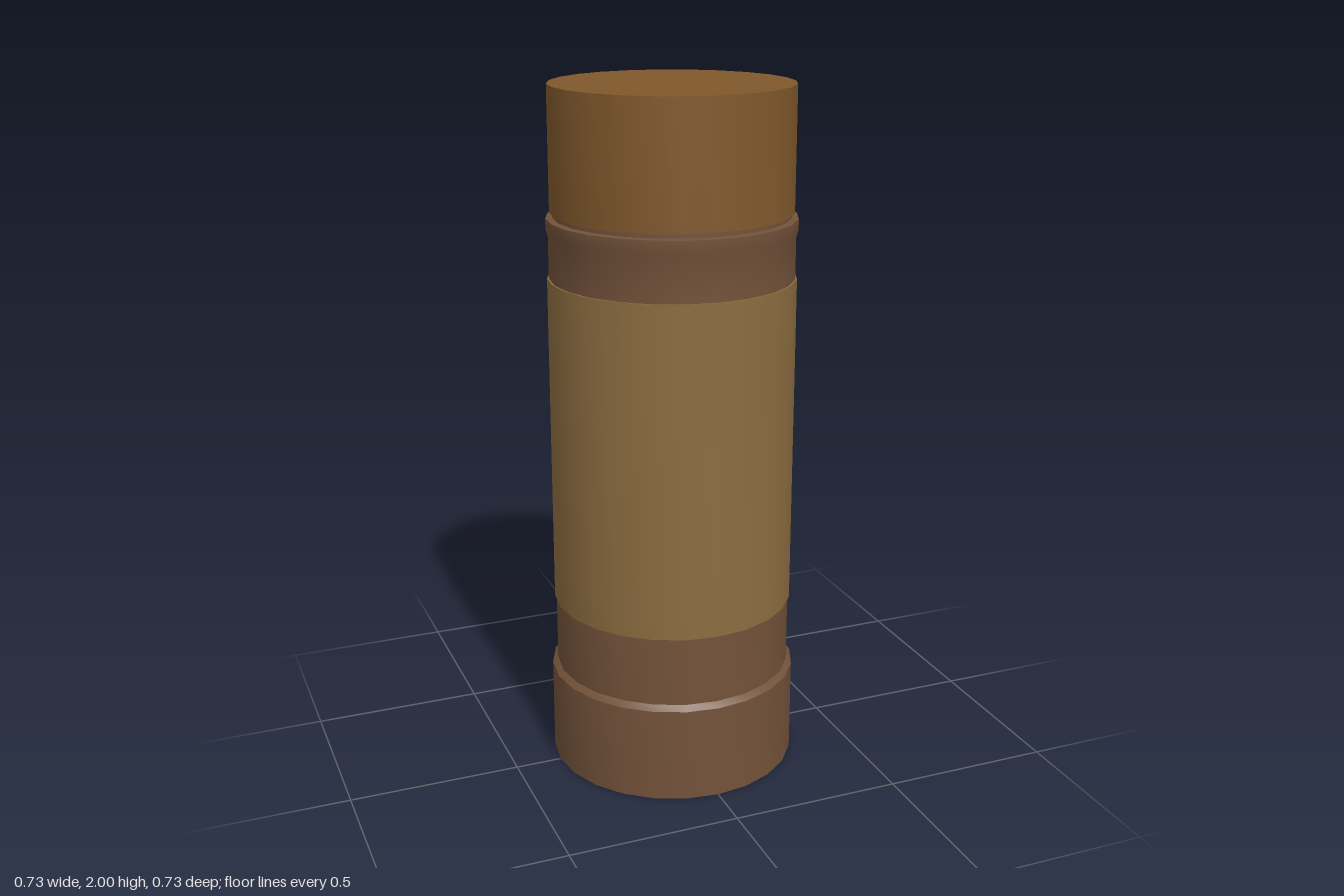
import * as THREE from 'three';
import { toCreasedNormals } from 'three/addons/utils/BufferGeometryUtils.js';

const SIDES = 24;

// Revolves a list of [radius, height] points into a named, crisp-edged shell
function turned(name, color, profile) {
  const points = profile.map(([r, y]) => new THREE.Vector2(r, y));
  const geometry = toCreasedNormals(new THREE.LatheGeometry(points, SIDES), 0.5);
  const material = new THREE.MeshStandardMaterial({ color, side: THREE.DoubleSide });
  const mesh = new THREE.Mesh(geometry, material);
  mesh.name = name;
  return mesh;
}

export function createModel() {
  const group = new THREE.Group();
  group.name = 'canister';
  const brown = 0x73523a;

  // Hollow base sleeve, open underneath, stepping in to the lower body
  group.add(turned('baseSleeve', brown, [
    [0.363, 0], [0.363, 0.28], [0.347, 0.295], [0.347, 0.5],
  ]));

  // Slightly raised wrap around the middle
  group.add(turned('middleWrap', 0x8c6c40, [
    [0.347, 0.5], [0.352, 0.5], [0.352, 1.465], [0.347, 1.465],
  ]));

  // Upper collar with a flared lip and a narrow groove under the cap
  group.add(turned('upperCollar', brown, [
    [0.347, 1.465], [0.347, 1.585], [0.353, 1.602], [0.353, 1.635],
    [0.334, 1.637], [0.334, 1.652],
  ]));

  // Flat-topped cap
  group.add(turned('cap', 0x80582c, [
    [0.334, 1.65], [0.342, 1.65], [0.342, 2], [0, 2],
  ]));

  return group;
}
